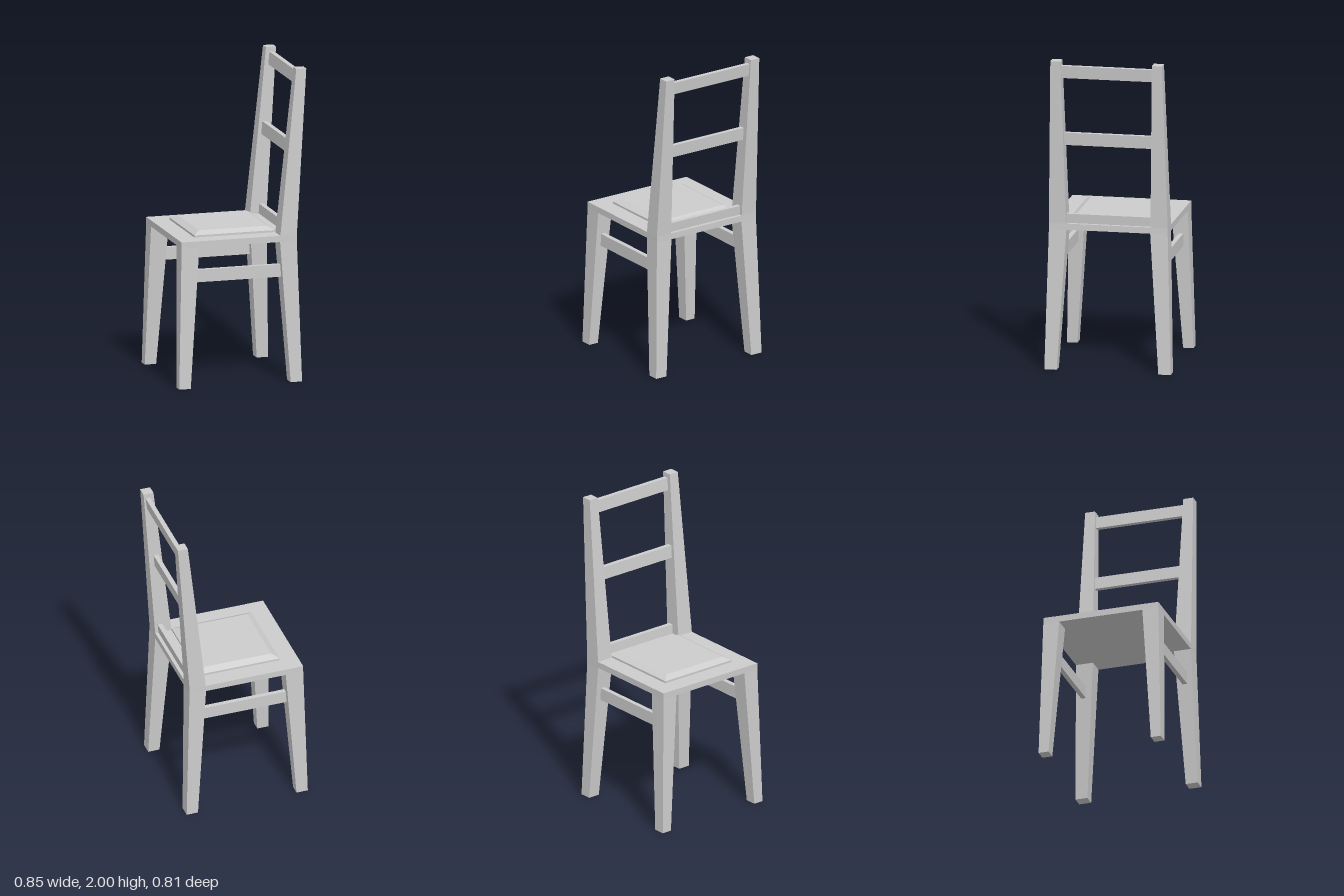
import * as THREE from 'three';

const material = new THREE.MeshStandardMaterial({ color: 0xcccccc, flatShading: true });

// Tapered block between two horizontal rectangles, each [y, x0, x1, z0, z1]
function block(name, bottom, top) {
  const geometry = new THREE.BoxGeometry(1, 1, 1);
  const p = geometry.attributes.position;
  for (let i = 0; i < p.count; i++) {
    const [y, x0, x1, z0, z1] = p.getY(i) < 0 ? bottom : top;
    p.setXYZ(i, p.getX(i) < 0 ? x0 : x1, y, p.getZ(i) < 0 ? z0 : z1);
  }
  geometry.computeVertexNormals();
  const mesh = new THREE.Mesh(geometry, material);
  mesh.name = name;
  return mesh;
}

// The same block on both sides of the chair
function pair(name, bottom, top) {
  const flip = ([y, x0, x1, z0, z1]) => [y, x0, x1, -z1, -z0];
  const group = new THREE.Group();
  group.name = name + 's';
  group.add(block(name, bottom, top), block(name, flip(bottom), flip(top)));
  return group;
}

export function createModel() {
  const chair = new THREE.Group();
  chair.name = 'chair';

  // Seat board and bevelled pad
  chair.add(block('seat', [0.9, -0.403, 0.353, -0.38, 0.38], [0.94, -0.403, 0.353, -0.38, 0.38]));
  const pad = new THREE.Group();
  pad.name = 'seatPad';
  const rim = [-0.285, 0.245, -0.268, 0.268];
  pad.add(
    block('padEdge', [0.94, ...rim], [0.953, ...rim]),
    block('padBevel', [0.953, ...rim], [0.975, -0.243, 0.205, -0.228, 0.228]),
  );
  chair.add(pad);

  // Splayed legs, back posts and side stretchers
  chair.add(
    pair('frontLeg', [0, -0.425, -0.35, 0.338, 0.404], [0.9, -0.403, -0.287, 0.275, 0.38]),
    pair('backLeg', [0, 0.305, 0.38, 0.325, 0.404], [0.9, 0.243, 0.353, 0.268, 0.38]),
    pair('backPost', [0.94, 0.245, 0.353, 0.27, 0.38], [2, 0.356, 0.422, 0.292, 0.357]),
    pair('sideStretcher', [0.67, -0.31, 0.27, 0.32, 0.35], [0.75, -0.31, 0.27, 0.32, 0.35]),
  );

  // Leaning back rails: [bottom y, top y, bottom x, top x, half length]
  const rails = [
    [0.94, 1.0, 0.301, 0.306, 0.28],
    [1.447, 1.528, 0.322, 0.329, 0.29],
    [1.89, 1.97, 0.37, 0.379, 0.3],
  ];
  for (const [y0, y1, x0, x1, h] of rails) {
    chair.add(block('backRail', [y0, x0, x0 + 0.03, -h, h], [y1, x1, x1 + 0.03, -h, h]));
  }
  return chair;
}
